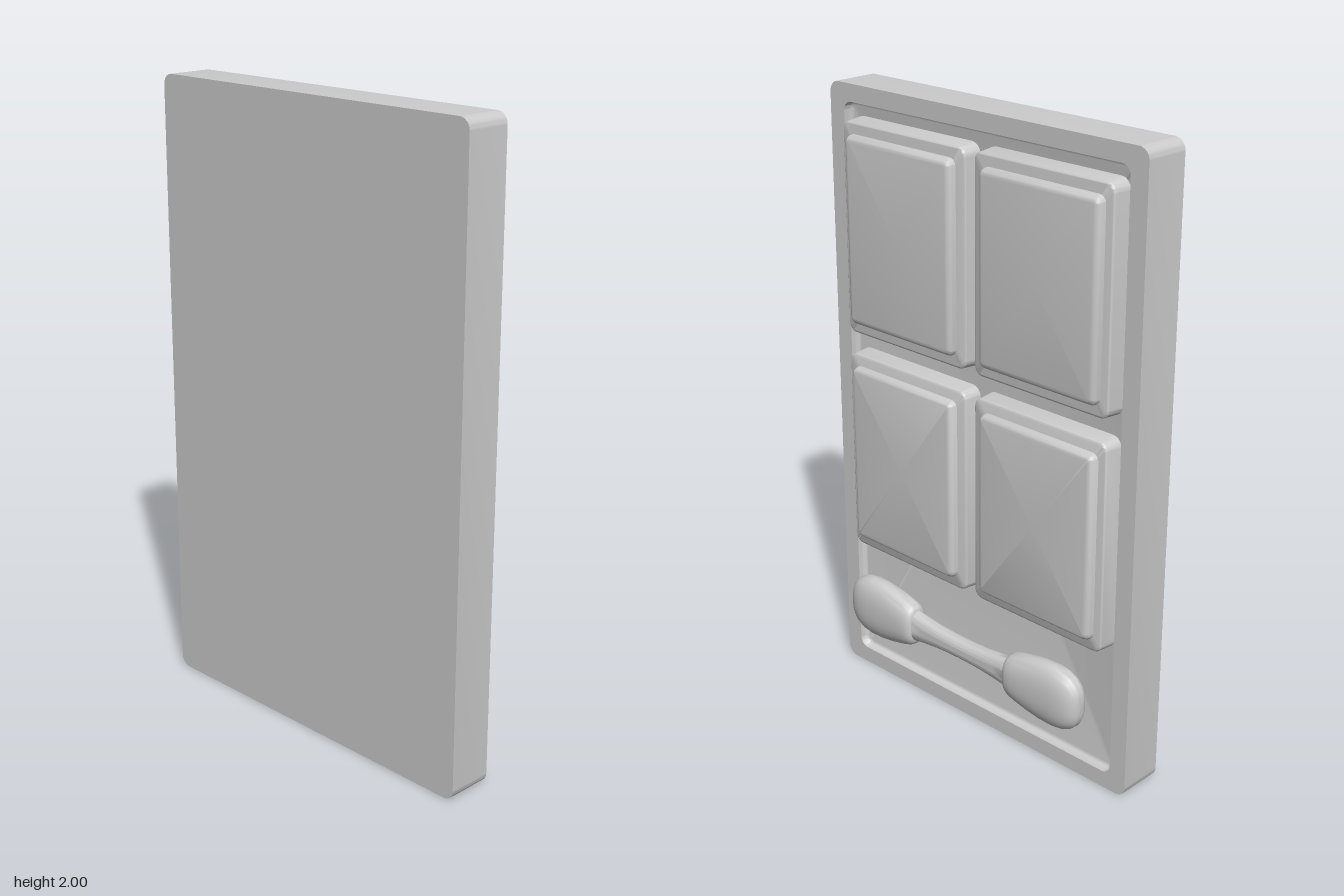
import * as THREE from 'three';
import { toCreasedNormals } from 'three/addons/utils/BufferGeometryUtils.js';

const material = new THREE.MeshStandardMaterial({ color: 0xcccccc });

// Rounded rectangle outline at depth z, counter-clockwise seen from +z
function rectRing(cx, cy, halfW, halfH, r, z, steps = 8) {
  const ring = [];
  [[1, 1], [-1, 1], [-1, -1], [1, -1]].forEach(([sx, sy], corner) => {
    for (let i = 0; i <= steps; i++) {
      const a = (corner + i / steps) * Math.PI / 2;
      ring.push([cx + sx * (halfW - r) + r * Math.cos(a), cy + sy * (halfH - r) + r * Math.sin(a), z]);
    }
  });
  return ring;
}

// Soft-cornered oval outline at depth z
function ovalRing(halfW, halfH, z, count = 40) {
  const ring = [];
  const soft = v => Math.sign(v) * Math.abs(v) ** 0.85;
  for (let i = 0; i < count; i++) {
    const a = i / count * Math.PI * 2;
    ring.push([halfW * soft(Math.cos(a)), halfH * soft(Math.sin(a)), z]);
  }
  return ring;
}

// Closed skin through rings ordered from front to back, capped at both ends
function loft(name, rings, crease = 0.7) {
  const n = rings[0].length;
  const points = rings.flat();
  const index = [];
  for (let k = 0; k < rings.length - 1; k++) {
    for (let j = 0; j < n; j++) {
      const a = k * n + j, b = k * n + (j + 1) % n;
      index.push(a, a + n, b, b, a + n, b + n);
    }
  }
  [rings[0], rings[rings.length - 1]].forEach((ring, end) => {
    const centre = points.length;
    points.push([0, 1, 2].map(c => ring.reduce((sum, p) => sum + p[c], 0) / n));
    const base = end * (rings.length - 1) * n;
    for (let j = 0; j < n; j++) {
      const p = base + j, q = base + (j + 1) % n;
      index.push(centre, end ? q : p, end ? p : q);
    }
  });
  const geometry = new THREE.BufferGeometry();
  geometry.setAttribute('position', new THREE.Float32BufferAttribute(points.flat(), 3));
  geometry.setIndex(index);
  const mesh = new THREE.Mesh(toCreasedNormals(geometry, crease), material);
  mesh.name = name;
  return mesh;
}

// Block whose back edge is rounded over by the given bevel
function softBlock(name, cx, cy, halfW, halfH, r, zFront, zBack, bevel, flare = 0) {
  const rings = [rectRing(cx, cy, halfW + flare, halfH + flare, r + flare, zFront)];
  for (let i = 0; i <= 5; i++) {
    const a = i / 5 * Math.PI / 2;
    const inset = bevel * (1 - Math.cos(a));
    rings.push(rectRing(cx, cy, halfW - inset, halfH - inset, Math.max(r - inset, 0.004), zBack + bevel * (1 - Math.sin(a))));
  }
  return loft(name, rings);
}

export function createModel() {
  const group = new THREE.Group();

  // Case with a shallow filleted recess in its back
  const caseRings = [
    rectRing(0, 1, 0.62, 1, 0.035, 0.125),
    rectRing(0, 1, 0.62, 1, 0.035, -0.025),
    rectRing(0, 1, 0.56, 0.945, 0.03, -0.025),
  ];
  for (let i = 0; i <= 4; i++) {
    const a = i / 4 * Math.PI / 2;
    const inset = 0.015 * (1 - Math.cos(a));
    caseRings.push(rectRing(0, 1, 0.56 - inset, 0.945 - inset, 0.03 - inset, -0.01 + 0.015 * Math.sin(a)));
  }
  group.add(loft('case', caseRings));

  // Four pans, each holding a pressed powder block
  for (const side of [-1, 1]) {
    for (const y of [0.815, 1.56]) {
      const pan = new THREE.Group();
      pan.name = 'pan';
      const x = side * 0.276;
      pan.add(softBlock('panTray', x, y, 0.258, 0.337, 0.03, 0.02, -0.056, 0.008, 0.006));
      pan.add(softBlock('powder', x + side * 0.004, y, 0.226, 0.3, 0.025, -0.04, -0.083, 0.022));
      group.add(pan);
    }
  }

  // Double-ended applicator: [distance from middle, half depth, half height]
  const half = [
    [0.5, 0.012, 0.03], [0.496, 0.022, 0.05], [0.485, 0.033, 0.07], [0.468, 0.041, 0.086],
    [0.44, 0.047, 0.099], [0.4, 0.049, 0.105], [0.35, 0.049, 0.103], [0.3, 0.049, 0.095],
    [0.25, 0.048, 0.083], [0.225, 0.046, 0.075], [0.213, 0.042, 0.068], [0.207, 0.036, 0.06],
    [0.205, 0.031, 0.052], [0.16, 0.03, 0.045], [0.1, 0.029, 0.038], [0.05, 0.029, 0.035],
  ];
  const stations = [...half, [0, 0.029, 0.034], ...half.map(([d, w, h]) => [-d, w, h]).reverse()];
  const applicator = loft('applicator', stations.map(([d, w, h]) => ovalRing(w, h, d)), 0.9);
  applicator.rotation.y = Math.PI / 2;
  applicator.position.set(0.015, 0.285, -0.077);
  group.add(applicator);

  return group;
}
